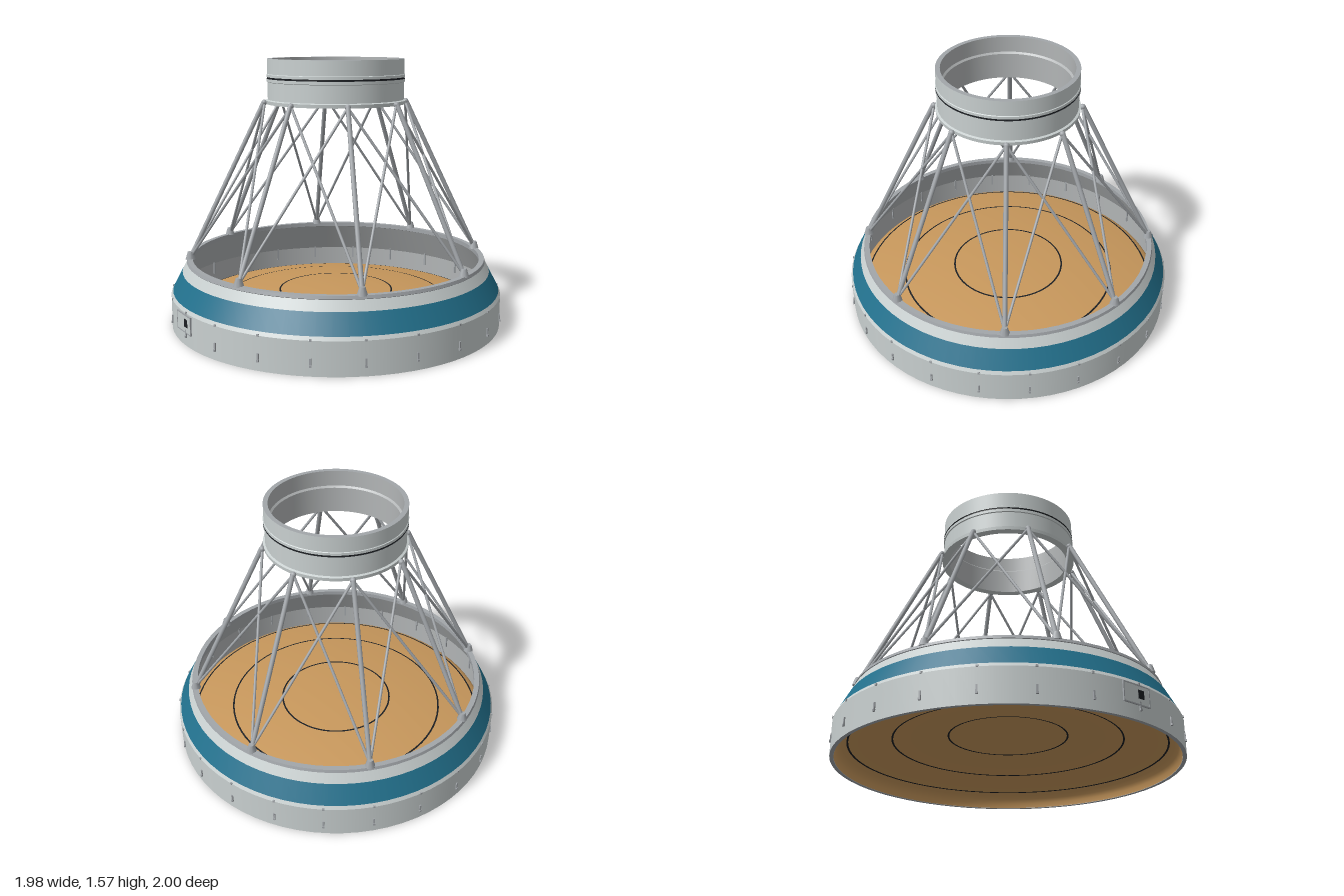
import * as THREE from 'three';

const mat = (name, hex) => {
  const m = new THREE.MeshStandardMaterial({ color: hex, side: THREE.DoubleSide });
  m.name = name;
  return m;
};

export function createModel() {
  const model = new THREE.Group();
  model.name = 'conicalTrussAdapter';

  const pale = mat('paleGrey', 0xc9d0d0);
  const grey = mat('metalGrey', 0xa2a6aa);
  const inner = mat('innerGrey', 0xb2b5b6);
  const teal = mat('teal', 0x22708c);
  const tan = mat('tan', 0xc8985c);
  const dark = mat('darkLine', 0x1b1e22);

  const add = (name, geo, material, parent = model) => {
    const mesh = new THREE.Mesh(geo, material);
    mesh.name = name;
    parent.add(mesh);
    return mesh;
  };
  const lathe = (name, pts, material) =>
    add(name, new THREE.LatheGeometry(pts.map(p => new THREE.Vector2(...p)), 72), material);
  // One lathe per profile segment keeps the edges between bands crisp
  const bands = (name, pts, material) => {
    for (let i = 0; i + 1 < pts.length; i++) lathe(name, [pts[i], pts[i + 1]], material);
  };
  const polar = (r, y, a) => new THREE.Vector3(r * Math.sin(a), y, r * Math.cos(a));

  // Base shell: upright skirt, painted cone, top rim and inner wall
  const coneR = y => 0.99 - (y - 0.19) * 0.53;
  bands('skirt', [[0.99, 0], [0.99, 0.19], [coneR(0.21), 0.21]], pale);
  bands('tealBand', [[coneR(0.21), 0.21], [coneR(0.32), 0.32]], teal);
  bands('upperCone', [[coneR(0.32), 0.32], [coneR(0.375), 0.375]], pale);
  bands('topRim', [[coneR(0.375), 0.375], [0.895, 0.378], [0.89, 0.395], [0.86, 0.395], [0.86, 0.37]], grey);
  bands('innerWall', [[0.86, 0.37], [0.875, 0.365], [0.965, 0.19], [0.968, 0]], inner);
  bands('bottomRim', [[0.968, 0], [0.99, 0]], grey);

  // Shallow domed floor with rounded shoulder and three dark rings
  const domeY = r => 0.185 - 0.12 * r * r;
  const domePts = (a, b, n) => Array.from({ length: n + 1 }, (_, i) => {
    const r = b + (a - b) * i / n;
    return [r, domeY(r)];
  });
  let from = 0.0001;
  for (const r of [0.34, 0.655, 0.9]) {
    lathe('domeFloor', domePts(from, r - 0.005, 8), tan);
    lathe('domeRing', domePts(r - 0.005, r + 0.005, 1), dark);
    from = r + 0.005;
  }
  lathe('domeShoulder', [[0.967, 0.002], [0.963, 0.03], [0.95, 0.055], [0.93, 0.073], [from, domeY(from)]], tan);

  // Clips and bolts around the skirt
  const clipCount = 22;
  for (let i = 0; i < clipCount; i++) {
    const a = i * Math.PI * 2 / clipCount;
    const clip = new THREE.Group();
    clip.name = 'skirtClip';
    clip.rotation.y = a;
    model.add(clip);
    add('clipBar', new THREE.BoxGeometry(0.01, 0.045, 0.008), grey, clip).position.set(0, 0.075, 0.992);
    add('clipFoot', new THREE.BoxGeometry(0.012, 0.012, 0.014), grey, clip).position.set(0, 0.056, 0.993);
    add('bolt', new THREE.BoxGeometry(0.012, 0.012, 0.012), grey, clip).position.set(0, 0.192, 0.988);
    add('innerBar', new THREE.BoxGeometry(0.01, 0.08, 0.01), grey, clip).position.set(0, 0.16, 0.962);
  }

  // Connector panel on the skirt
  const panel = new THREE.Group();
  panel.name = 'connectorPanel';
  panel.rotation.y = -Math.PI * 0.371;
  model.add(panel);
  const plate = (name, w, h, x, y, z, m) =>
    add(name, new THREE.BoxGeometry(w, h, 0.008), m, panel).position.set(x, y, z);
  plate('panelPlate', 0.18, 0.1, 0, 0.13, 0.991, pale);
  plate('panelSlot', 0.04, 0.045, 0.03, 0.135, 0.993, dark);
  for (const s of [-1, 1]) {
    plate('panelFrameSide', 0.006, 0.106, s * 0.09, 0.13, 0.992, grey);
    plate('panelFrameEdge', 0.186, 0.006, 0, 0.13 + s * 0.05, 0.992, grey);
  }

  // Truss: thick radial struts with thin crossing diagonals
  const strut = (name, a, b, r) => {
    const mesh = add(name, new THREE.CylinderGeometry(r, r, a.distanceTo(b), 10), grey);
    mesh.position.copy(a).add(b).multiplyScalar(0.5);
    mesh.quaternion.setFromUnitVectors(new THREE.Vector3(0, 1, 0), b.clone().sub(a).normalize());
  };
  const step = Math.PI / 4;
  for (let i = 0; i < 8; i++) {
    const a = i * step;
    const foot = polar(0.87, 0.405, a);
    strut('mainStrut', foot, polar(0.425, 1.315, a), 0.0135);
    for (const s of [-1, 1]) strut('diagonalStrut', foot, polar(0.42, 1.31, a + s * step), 0.008);
    const base = add('footBracket', new THREE.CylinderGeometry(0.016, 0.03, 0.045, 8), grey);
    base.position.copy(polar(0.872, 0.413, a));
    const cap = add('topJoint', new THREE.SphereGeometry(0.017, 10, 8), grey);
    cap.position.copy(polar(0.422, 1.313, a));
  }

  // Upper ring with a dark separation groove
  bands('lowerCollar', [[0.365, 1.305], [0.41, 1.305], [0.412, 1.325], [0.4, 1.33], [0.4, 1.43],
    [0.406, 1.433], [0.406, 1.45]], pale);
  bands('separationGroove', [[0.406, 1.45], [0.402, 1.451], [0.402, 1.459], [0.406, 1.46]], dark);
  bands('upperCollar', [[0.406, 1.46], [0.406, 1.475], [0.402, 1.478], [0.402, 1.565]], pale);
  bands('collarTopRim', [[0.402, 1.565], [0.375, 1.565]], grey);
  bands('collarInside', [[0.375, 1.565], [0.375, 1.47], [0.365, 1.46], [0.365, 1.305]], inner);

  return model;
}
